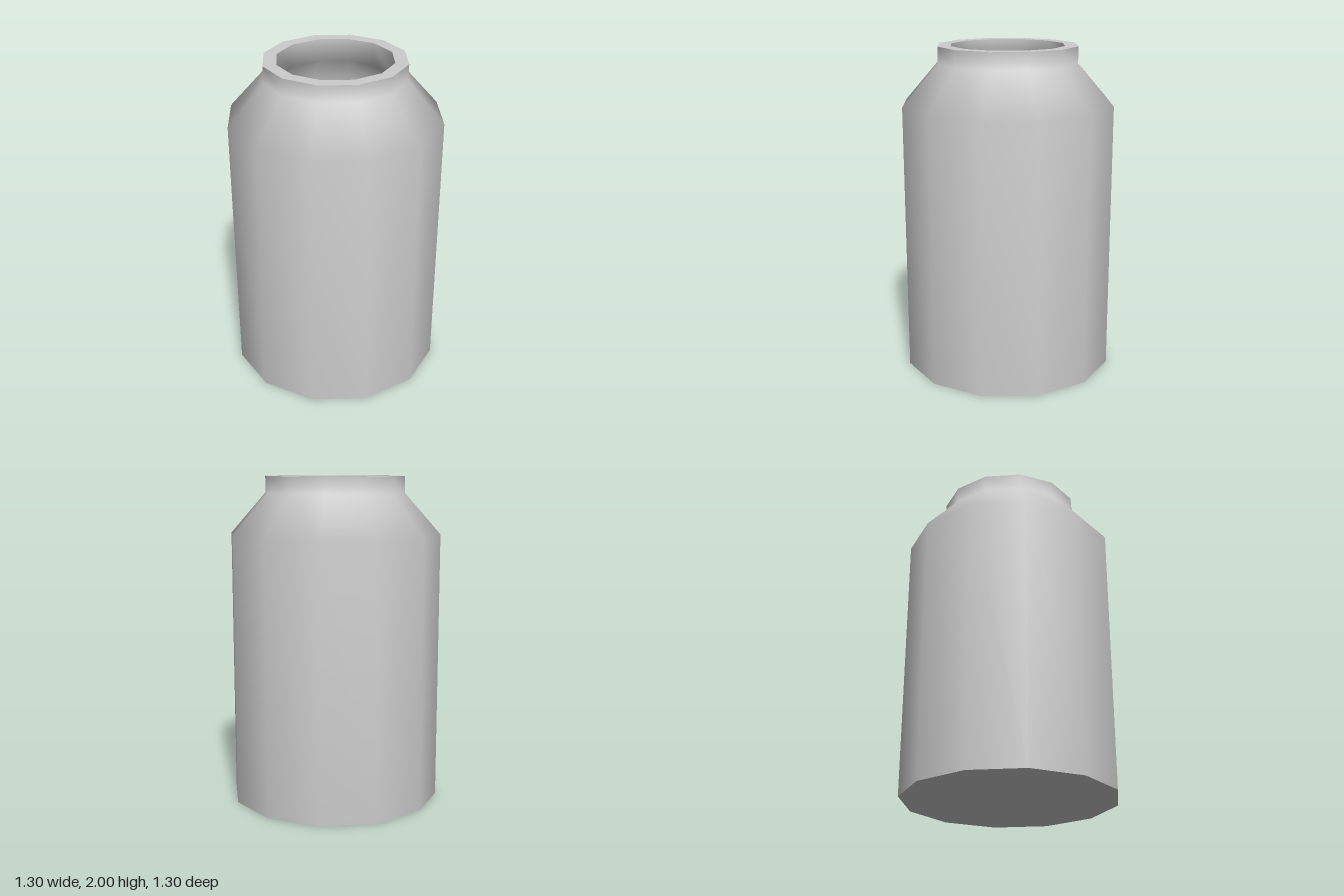
import * as THREE from 'three';

const SIDES = 12;

export function createModel() {
  const group = new THREE.Group();
  group.name = 'jar';
  const grey = new THREE.MeshStandardMaterial({ color: 0xcccccc });
  grey.name = 'light grey';

  // Each ring is smooth; edges between separate rings stay sharp
  const ring = (name, profile) => {
    const points = profile.map(([r, y]) => new THREE.Vector2(r, y));
    const mesh = new THREE.Mesh(new THREE.LatheGeometry(points, SIDES), grey);
    mesh.name = name;
    group.add(mesh);
  };

  // Body, sloped shoulder and neck
  ring('outerWall', [[0.65, 0], [0.65, 1.65], [0.43, 1.9], [0.43, 2]]);
  ring('base', [[0, 0], [0.65, 0]]);
  ring('rim', [[0.43, 2], [0.35, 2]]);

  // Hollow inside, following the outer wall
  ring('innerWall', [[0.35, 2], [0.35, 1.86], [0.57, 1.61], [0.57, 0.08]]);
  ring('innerFloor', [[0.57, 0.08], [0, 0.08]]);

  return group;
}
